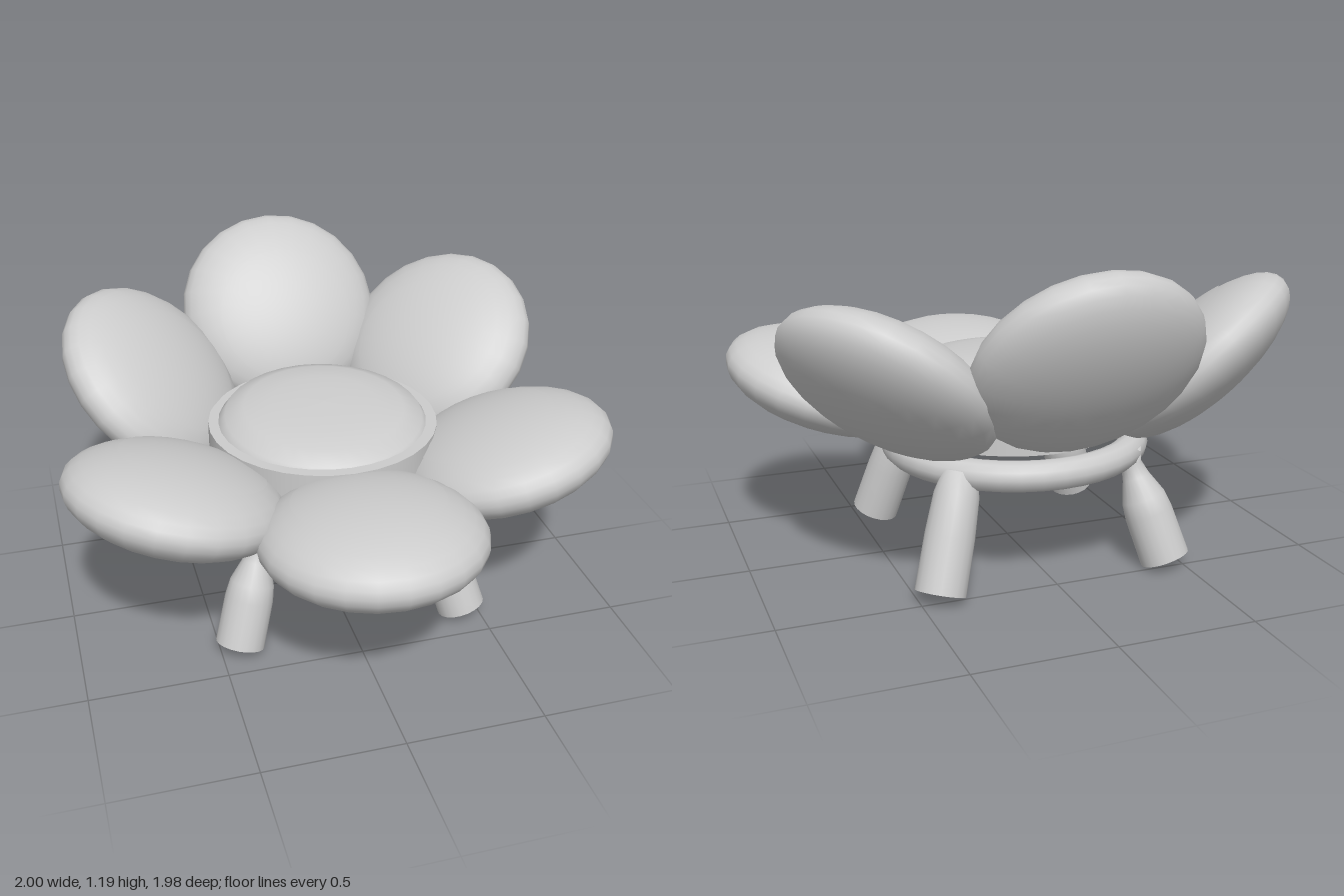
import * as THREE from 'three';

export function createModel() {
  const model = new THREE.Group();
  const fabric = new THREE.MeshStandardMaterial({ color: 0xcccccc });
  fabric.name = 'light grey';

  const add = (parent, name, geometry, x = 0, y = 0, z = 0) => {
    const mesh = new THREE.Mesh(geometry, fabric);
    mesh.name = name;
    mesh.position.set(x, y, z);
    parent.add(mesh);
    return mesh;
  };
  const lathe = (points, segments) =>
    new THREE.LatheGeometry(points.map(([r, y]) => new THREE.Vector2(r, y)), segments);

  // Petals: flattened ellipsoids leaning outward, each with a faint raised pad
  const petalGeometry = new THREE.SphereGeometry(1, 24, 18).scale(0.4, 0.16, 0.4);
  const padGeometry = new THREE.SphereGeometry(1.02, 24, 8, 0, Math.PI * 2, 0, 0.72)
    .rotateX(-0.16).scale(0.4, 0.16, 0.4);
  const addPetal = (name, x, y, z, outX, outZ, tilt) => {
    const petal = new THREE.Group();
    petal.name = name;
    petal.position.set(x, y, z);
    petal.rotation.order = 'YXZ';
    petal.rotation.set(-THREE.MathUtils.degToRad(tilt), Math.atan2(outX, outZ), 0);
    add(petal, 'petalCushion', petalGeometry);
    add(petal, 'petalPad', padGeometry);
    model.add(petal);
  };
  addPetal('frontPetal', 0, 0.56, 0.59, 0, 1, 4);
  addPetal('backPetal', 0, 0.855, -0.726, 0, -1, 55);
  for (const [side, s] of [['left', 1], ['right', -1]]) {
    addPetal(side + 'FrontPetal', s * 0.615, 0.622, 0.255, s * 0.9, 0.43, 17);
    addPetal(side + 'BackPetal', s * 0.58, 0.765, -0.42, s * 0.81, -0.58, 45);
  }

  // Round seat cushion, slightly raised at the back
  const cushion = add(model, 'seatCushion', lathe([
    [0, -0.12], [0.25, -0.11], [0.36, -0.07], [0.405, -0.01], [0.405, 0.03],
    [0.37, 0.08], [0.3, 0.11], [0.2, 0.124], [0.1, 0.13], [0, 0.132],
  ], 32), 0, 0.64, -0.04);
  cushion.rotation.x = 0.07;

  // Drum under the cushion and the ring that carries the legs
  add(model, 'seatBase', new THREE.CylinderGeometry(0.43, 0.43, 0.21, 32), 0, 0.585, -0.05);
  add(model, 'baseRing', new THREE.TorusGeometry(0.445, 0.055, 12, 40).rotateX(Math.PI / 2), 0, 0.42, -0.07);

  // Splayed legs; those on the right side have a pinched neck
  const plainLeg = [[0.09, 0], [0.088, 0.2], [0.08, 0.34], [0.06, 0.42], [0, 0.43]];
  const neckedLeg = [[0.09, 0], [0.088, 0.18], [0.08, 0.24], [0.05, 0.32], [0.038, 0.37], [0.055, 0.42], [0, 0.43]];
  const up = new THREE.Vector3(0, 1, 0);
  for (const [side, s] of [['left', 1], ['right', -1]]) {
    for (const [end, footZ, topZ] of [['Front', 0.37, 0.27], ['Back', -0.49, -0.38]]) {
      const leg = new THREE.Group();
      leg.name = side + end + 'Leg';
      leg.position.set(s * 0.43, 0.033, footZ);
      const axis = new THREE.Vector3(s * -0.115, 0.4, topZ - footZ).normalize();
      leg.quaternion.setFromUnitVectors(up, axis);
      add(leg, 'legShaft', lathe(s > 0 ? plainLeg : neckedLeg, 20));
      add(leg, 'sole', new THREE.CircleGeometry(0.09, 20).rotateX(Math.PI / 2));
      model.add(leg);
    }
  }
  return model;
}
